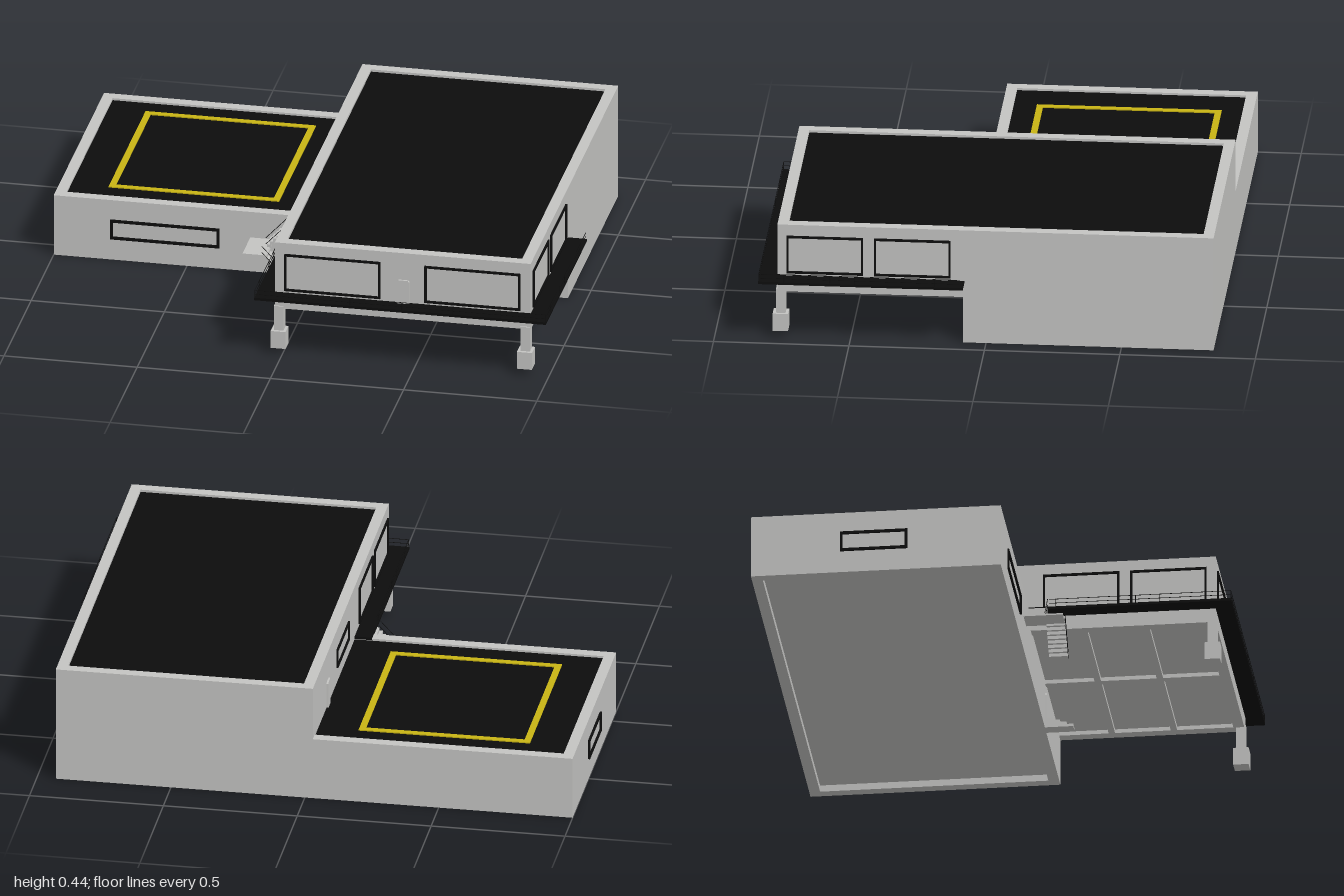
import * as THREE from 'three';

const mat = (name, color) => {
  const m = new THREE.MeshStandardMaterial({ color });
  m.name = name;
  return m;
};

export function createModel() {
  const concrete = mat('concrete grey', 0xc4c4c2);
  const black = mat('asphalt black', 0x0d0d0d);
  const yellow = mat('marking yellow', 0xc8b414);
  const root = new THREE.Group();
  root.name = 'landingPadBuilding';

  const add = (name, geo, material, parent = root) => {
    const m = new THREE.Mesh(geo, material);
    m.name = name;
    parent.add(m);
    return m;
  };
  // box given by its extents
  const box = (name, material, x0, x1, y0, y1, z0, z1, parent = root) => {
    const m = add(name, new THREE.BoxGeometry(x1 - x0, y1 - y0, z1 - z0), material, parent);
    m.position.set((x0 + x1) / 2, (y0 + y1) / 2, (z0 + z1) / 2);
    return m;
  };
  // rectangular ring, extruded along +z
  const ringGeo = (x0, x1, y0, y1, t, depth) => {
    const s = new THREE.Shape([[x0, y0], [x1, y0], [x1, y1], [x0, y1]].map(p => new THREE.Vector2(...p)));
    s.holes.push(new THREE.Path([[x0 + t, y0 + t], [x0 + t, y1 - t], [x1 - t, y1 - t], [x1 - t, y0 + t]]
      .map(p => new THREE.Vector2(...p))));
    return new THREE.ExtrudeGeometry(s, { depth, bevelEnabled: false });
  };
  // ring lying flat, from y0 to y1
  const flatRing = (name, material, x0, x1, z0, z1, y0, y1, t) => {
    const g = ringGeo(x0, x1, -z1, -z0, t, y1 - y0).rotateX(-Math.PI / 2);
    add(name, g, material).position.y = y0;
  };

  // Lower storey and upper block, walls with recessed roofs and floors
  flatRing('lowerWalls', concrete, -1, 0.93, -0.84, 0.085, 0, 0.24, 0.04);
  box('lowerFloor', concrete, -0.97, 0.9, 0.025, 0.04, -0.81, 0.06);
  box('padRoof', black, -0.97, -0.01, 0.215, 0.232, -0.81, 0.055);
  flatRing('upperWalls', concrete, -0.03, 0.93, -0.84, 0.77, 0.18, 0.445, 0.04);
  box('upperRoof', black, 0, 0.9, 0.42, 0.436, -0.81, 0.74);
  box('upperFloor', concrete, 0, 0.9, 0.195, 0.21, 0.06, 0.74);

  // Beams under the overhang
  box('longBeam', concrete, 0.435, 0.465, 0.18, 0.2, 0.08, 0.74);
  for (const z of [0.28, 0.51]) box('crossBeam', concrete, 0, 0.9, 0.18, 0.2, z - 0.012, z + 0.012);

  // Legs with block feet
  for (const x of [-0.015, 0.91]) {
    const leg = new THREE.Group();
    leg.name = 'frontLeg';
    root.add(leg);
    box('column', concrete, x - 0.018, x + 0.018, 0.09, 0.19, 0.74, 0.775, leg);
    box('foot', concrete, x - 0.028, x + 0.028, 0.025, 0.093, 0.73, 0.787, leg);
  }

  // Landing square
  flatRing('landingSquare', yellow, -0.82, -0.18, -0.722, -0.04, 0.231, 0.236, 0.024);

  // Walkway around the overhang
  box('walkwayFront', black, -0.095, 1, 0.234, 0.244, 0.765, 0.835);
  box('walkwayRight', black, -0.095, -0.03, 0.234, 0.244, 0.045, 0.765);
  box('walkwayLeft', black, 0.93, 1, 0.234, 0.244, 0.08, 0.765);

  // Thin railing
  const r = 0.0012;
  const rail = (a, b) => {
    const va = new THREE.Vector3(...a), vb = new THREE.Vector3(...b);
    add('railBar', new THREE.TubeGeometry(new THREE.LineCurve3(va, vb), 1, r, 4), black);
  };
  for (const y of [0.258, 0.274]) {
    rail([-0.093, y, 0.833], [0.998, y, 0.833]);
    rail([0.998, y, 0.09], [0.998, y, 0.833]);
    rail([-0.093, y, 0.16], [-0.093, y, 0.833]);
  }
  for (const x of [-0.093, 0.085, 0.265, 0.46, 0.65, 0.83, 0.998]) rail([x, 0.24, 0.833], [x, 0.275, 0.833]);
  for (const x of [-0.093, 0.998])
    for (const z of [0.185, 0.48, 0.57, 0.74]) rail([x, 0.24, z], [x, 0.275, z]);

  // Windows and doors: u runs along the wall, turned to face outwards
  const onWall = (obj, x, y, z, turn) => {
    obj.position.set(x, y, z);
    obj.rotation.y = turn;
  };
  const frame = (x, y, z, w, h, t, turn) =>
    onWall(add('windowFrame', ringGeo(-w / 2, w / 2, -h / 2, h / 2, t, 0.008), black), x, y, z, turn);
  const R = Math.PI / 2;
  for (const x of [0.186, 0.712]) frame(x, 0.328, 0.769, 0.36, 0.148, 0.008, 0);
  for (const z of [0.272, 0.595]) {
    frame(0.929, 0.328, z, 0.283, 0.148, 0.008, R);
    frame(-0.029, 0.328, z, 0.283, 0.148, 0.008, -R);
  }
  frame(-0.029, 0.333, -0.215, 0.25, 0.075, 0.008, -R);
  frame(-0.999, 0.123, -0.385, 0.25, 0.078, 0.01, -R);
  frame(-0.583, 0.123, 0.084, 0.41, 0.078, 0.01, 0);

  const door = (x, y, z, h, turn) => {
    const w = 0.0235, c = 0.006;
    const s = new THREE.Shape([[-w, 0], [w, 0], [w, h - c], [w - c, h], [c - w, h], [-w, h - c]]
      .map(p => new THREE.Vector2(...p)));
    onWall(add('door', new THREE.ExtrudeGeometry(s, { depth: 0.008, bevelEnabled: false }), concrete), x, y, z, turn);
  };
  door(0.452, 0.244, 0.769, 0.093, 0);
  door(0.452, 0.04, 0.084, 0.1, 0);
  door(-0.029, 0.232, -0.525, 0.103, -R);

  // Entrance steps
  for (let i = 0; i < 4; i++)
    box('entranceStep', concrete, 0.428, 0.476, i * 0.01, (i + 1) * 0.01, 0.08, 0.19 - i * 0.025);

  // Side stair: two flights meeting at a landing
  box('stairLanding', concrete, -0.262, -0.175, 0.131, 0.137, 0.085, 0.23);
  const n = 8;
  for (let i = 0; i < n; i++) {
    const x = -0.185 + i * 0.0115;
    const up = 0.142 + i * 0.0125, down = 0.13 - i * 0.0125;
    box('upperStep', concrete, x, x + 0.014, up - 0.007, up + 0.006, 0.085, 0.155);
    box('lowerStep', concrete, x, x + 0.014, down - 0.007, down + 0.006, 0.161, 0.23);
  }
  for (const dy of [0.01, 0.035]) {
    rail([-0.19, 0.138 + dy, 0.155], [-0.095, 0.24 + dy, 0.155]);
    rail([-0.19, 0.138 + dy, 0.23], [-0.085, 0.025 + dy, 0.23]);
  }
  return root;
}
